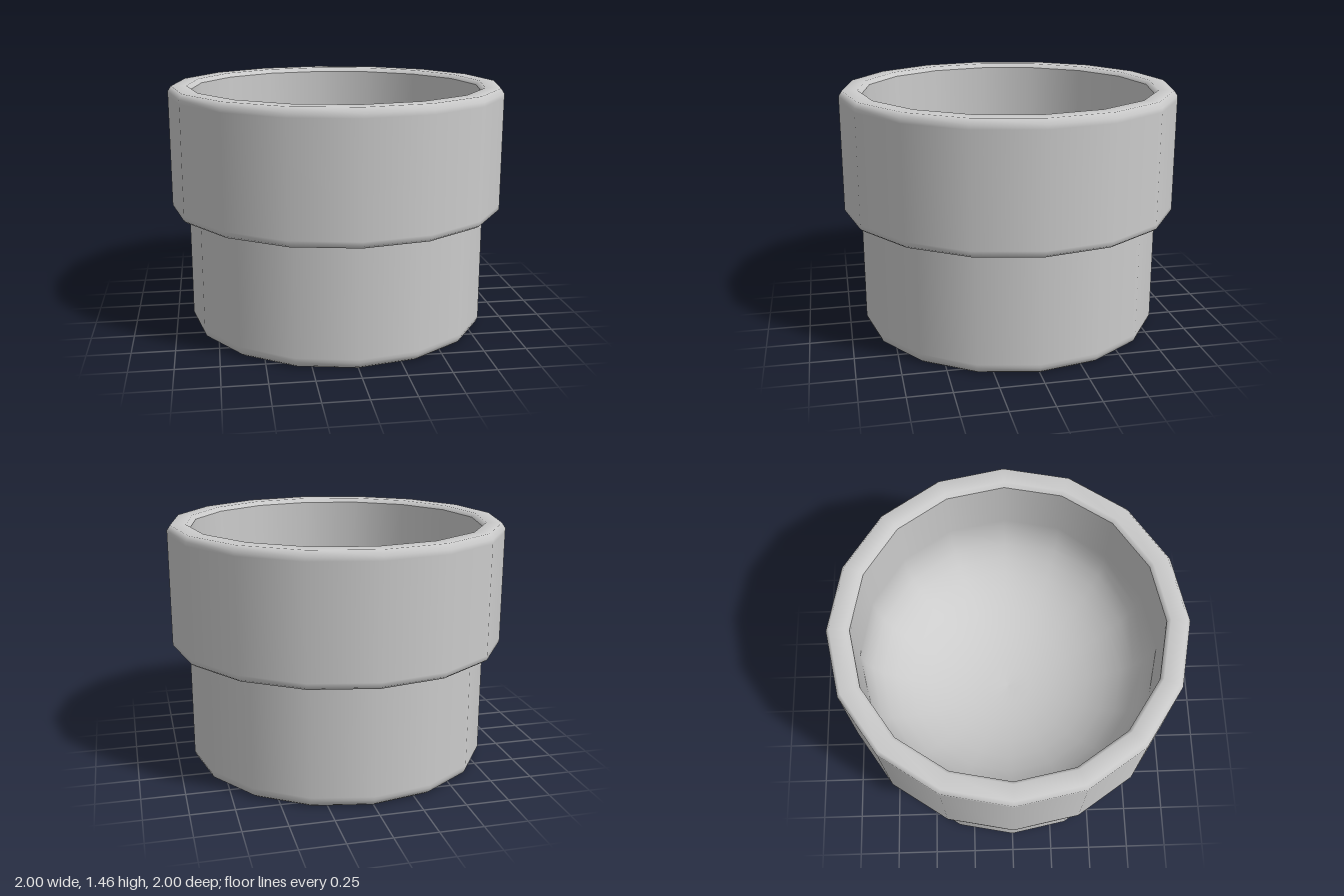
import * as THREE from 'three';

const SIDES = 16;
const material = new THREE.MeshStandardMaterial({ color: 0xcccccc });

// Revolve a profile of [radius, height] pairs, running bottom-outside to top to inside.
function turned(name, profile) {
  const points = profile.map(([r, y]) => new THREE.Vector2(r, y));
  const mesh = new THREE.Mesh(new THREE.LatheGeometry(points, SIDES), material);
  mesh.name = name;
  return mesh;
}

export function createModel() {
  const group = new THREE.Group();
  group.name = 'steppedCup';

  // Flat underside
  group.add(turned('underside', [[0, 0], [0.87, 0]]));

  // Narrow lower body with a small bevel at the foot
  group.add(turned('lowerBody', [[0.87, 0], [0.89, 0.015], [0.9, 0.04], [0.9, 0.06], [0.9, 0.72]]));

  // Wide collar: underside ledge, soft edges, wall and rounded rim
  group.add(turned('collar', [
    [0.9, 0.72], [0.96, 0.72], [0.98, 0.72], [1, 0.735], [1, 0.76],
    [1, 1.4], [1, 1.425], [0.98, 1.455], [0.89, 1.455], [0.87, 1.43],
  ]));

  // Hollow inside: straight wall running into a shallow rounded bowl
  const wallEnd = 1.0, depth = 0.58, radius = 0.87, steps = 10;
  const inside = [[radius, 1.43], [radius, wallEnd + 0.05]];
  for (let i = 0; i <= steps; i++) {
    const a = (i / steps) * Math.PI / 2;
    inside.push([i === steps ? 0 : radius * Math.cos(a), wallEnd - depth * Math.sin(a)]);
  }
  group.add(turned('innerBowl', inside));

  return group;
}
